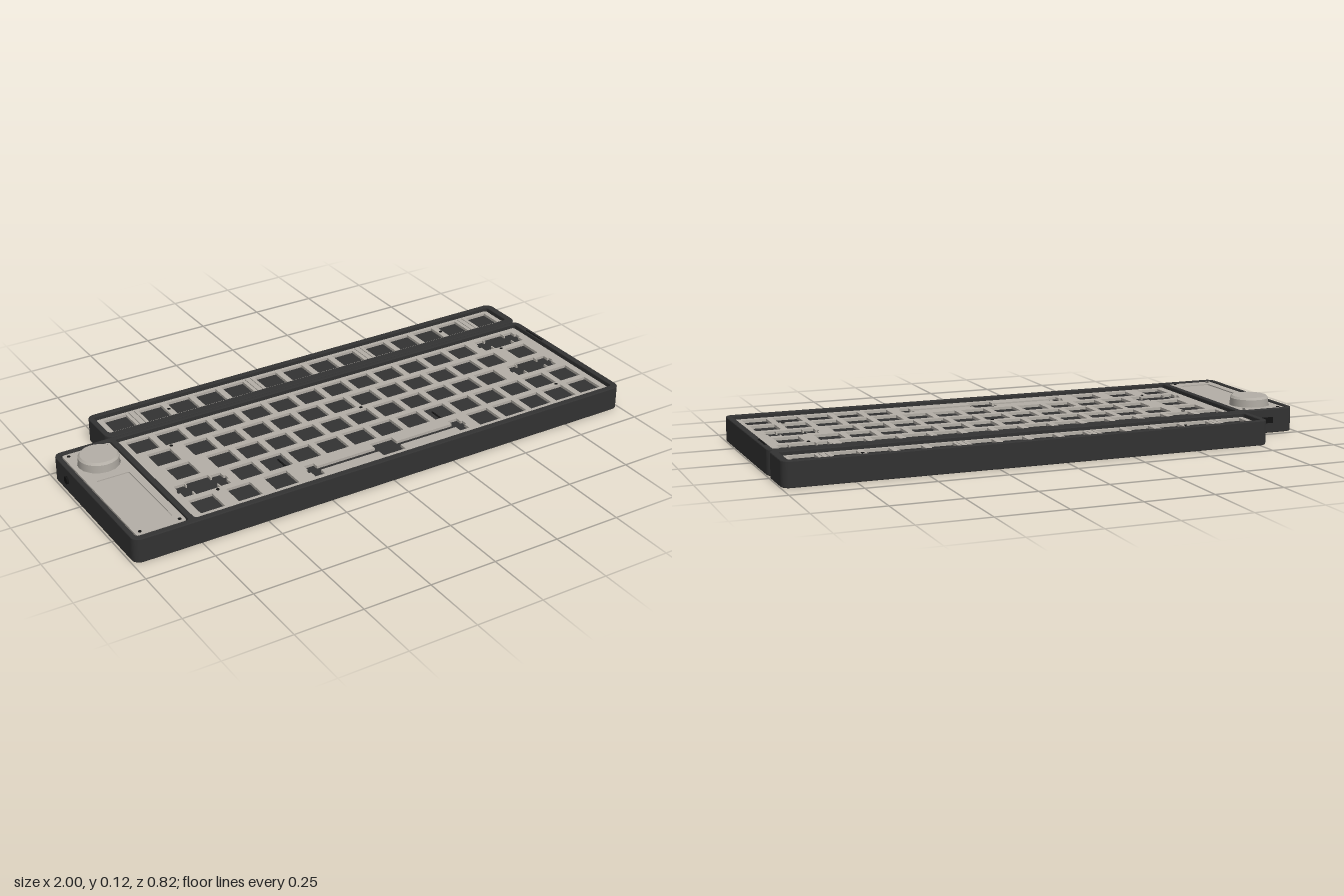
import * as THREE from 'three';

const mat = (name, color) => {
  const m = new THREE.MeshStandardMaterial({ color });
  m.name = name;
  return m;
};

// Rounded rectangle in plan; shape x,y map to model x,z
function roundRect(x0, x1, z0, z1, r, Type = THREE.Shape) {
  const s = new Type();
  s.moveTo(x0 + r, z0);
  s.lineTo(x1 - r, z0);
  s.absarc(x1 - r, z0 + r, r, -Math.PI / 2, 0);
  s.lineTo(x1, z1 - r);
  s.absarc(x1 - r, z1 - r, r, 0, Math.PI / 2);
  s.lineTo(x0 + r, z1);
  s.absarc(x0 + r, z1 - r, r, Math.PI / 2, Math.PI);
  s.lineTo(x0, z0 + r);
  s.absarc(x0 + r, z0 + r, r, Math.PI, Math.PI * 1.5);
  return s;
}

function polygonHole(points) {
  return new THREE.Path(points.map(([x, z]) => new THREE.Vector2(x, z)));
}

const rectHole = (x, z, w, d) => polygonHole([
  [x - w / 2, z - d / 2], [x + w / 2, z - d / 2], [x + w / 2, z + d / 2], [x - w / 2, z + d / 2],
]);

// Switch opening joined to two stabiliser openings at +-d by a slot of half width b
function stabHole(x, z, d, b) {
  const s = 0.045, a = d - 0.019, c = d + 0.019, e = d + 0.027;
  const right = [
    [s, -s], [s, -b], [a, -b], [a, -0.036], [c, -0.036], [c, -0.012], [e, -0.012],
    [e, 0.012], [c, 0.012], [c, 0.042], [a, 0.042], [a, b], [s, b], [s, s],
  ];
  const left = right.map(([px, pz]) => [-px, pz]).reverse();
  return polygonHole([...right, ...left].map(([px, pz]) => [x + px, z + pz]));
}

export function createModel() {
  const graphite = mat('graphite case', 0x323232);
  const silver = mat('warm silver', 0xb3aea6);
  const black = mat('black', 0x121212);
  const steel = mat('blue grey', 0x8c8c98);
  const root = new THREE.Group();
  root.name = 'keyboard';

  const add = (name, geometry, material, x = 0, y = 0, z = 0) => {
    const m = new THREE.Mesh(geometry, material);
    m.name = name;
    m.position.set(x, y, z);
    root.add(m);
    return m;
  };
  const box = (name, material, w, h, d, x, y, z) =>
    add(name, new THREE.BoxGeometry(w, h, d), material, x, y, z);

  // Extrude a plan shape downward from its top height
  const slab = (name, shape, material, top, depth, bevel = 0) => {
    const g = new THREE.ExtrudeGeometry(shape, {
      depth: depth - 2 * bevel, curveSegments: 8, bevelEnabled: bevel > 0,
      bevelSize: bevel, bevelThickness: bevel, bevelOffset: -bevel, bevelSegments: 2,
    });
    g.rotateX(Math.PI / 2);
    add(name, g, material, 0, top - bevel, 0);
  };

  // Main case, with a key well and a control well
  const mainCase = roundRect(-0.993, 0.997, -0.228, 0.412, 0.03);
  mainCase.holes.push(
    roundRect(-0.762, 0.974, -0.21, 0.388, 0.012, THREE.Path),
    roundRect(-0.974, -0.784, -0.21, 0.388, 0.012, THREE.Path),
  );
  slab('mainCase', mainCase, graphite, 0.09, 0.09, 0.003);
  slab('mainFloor', roundRect(-0.983, 0.987, -0.218, 0.402, 0.025), graphite, 0.055, 0.054);

  // Separate case for the top row
  const rowCase = roundRect(-0.783, 0.997, -0.412, -0.2285, 0.03);
  rowCase.holes.push(roundRect(-0.762, 0.97, -0.392, -0.262, 0.012, THREE.Path));
  slab('topRowCase', rowCase, graphite, 0.09, 0.09, 0.003);
  slab('topRowFloor', roundRect(-0.773, 0.987, -0.402, -0.2385, 0.025), graphite, 0.055, 0.054);

  // Key plate: runs of [z, first x, number of keys]
  const u = 0.1137, key = 0.09;
  const plate = roundRect(-0.757, 0.969, -0.205, 0.383, 0.01);
  const runs = [
    [-0.143, -0.69, 13],
    [-0.029, -0.664, 1], [-0.029, -0.521, 12], [-0.029, 0.874, 1],
    [0.085, -0.65, 1], [0.085, -0.493, 11],
    [0.199, -0.466, 13],
    [0.313, -0.68, 1], [0.313, -0.537, 1], [0.313, -0.395, 1], [0.313, 0.446, 5],
  ];
  for (const [z, x, n] of runs) {
    for (let i = 0; i < n; i++) plate.holes.push(rectHole(x + i * u, z, key, key));
  }
  plate.holes.push(
    stabHole(0.847, -0.143, 0.069, 0.022),
    stabHole(0.833, 0.085, 0.069, 0.022),
    stabHole(-0.637, 0.199, 0.069, 0.022),
    stabHole(0.035, 0.313, 0.3, 0.013),
  );
  slab('keyPlate', plate, silver, 0.077, 0.01);

  // Top row plate with thin slots between the key groups
  const rowPlate = roundRect(-0.757, 0.965, -0.387, -0.267, 0.01);
  for (const [x, n] of [[-0.69, 1], [-0.55, 4], [-0.067, 4], [0.416, 4], [0.9, 1]]) {
    for (let i = 0; i < n; i++) rowPlate.holes.push(rectHole(x + i * u, -0.327, key, key));
  }
  for (const x of [-0.62, -0.138, 0.346, 0.829]) {
    for (const s of [-1, 1]) rowPlate.holes.push(rectHole(x + s * 0.011, -0.327, 0.003, 0.11));
  }
  slab('topRowPlate', rowPlate, silver, 0.077, 0.01);

  // Narrow slits in the circuit board under some keys
  for (let i = 0; i < 6; i++) box('boardSlit', black, 0.085, 0.003, 0.008, -0.265 + i * u, 0.056, 0.125);
  for (const x of [-0.68, -0.537, -0.395]) box('boardSlit', black, 0.085, 0.003, 0.01, x, 0.056, 0.352);
  for (const x of [-0.32, 0.328]) box('boardSlit', black, 0.006, 0.003, 0.08, x, 0.056, 0.2);

  // Control panel with knob opening and sunken display
  const panel = roundRect(-0.969, -0.789, -0.205, 0.383, 0.01);
  const ring = new THREE.Path();
  ring.absarc(-0.877, -0.1, 0.075, 0, Math.PI * 2);
  panel.holes.push(ring, roundRect(-0.937, -0.817, 0.01, 0.335, 0.006, THREE.Path));
  slab('controlPanel', panel, silver, 0.087, 0.012);
  box('display', silver, 0.13, 0.006, 0.335, -0.877, 0.08, 0.1725);

  // Rotary knob with chamfered rim; doubled points keep the edges sharp
  const knob = [[0.06, 0.056], [0.071, 0.06], [0.071, 0.06], [0.071, 0.114], [0.071, 0.114],
    [0.064, 0.122], [0.064, 0.122], [0, 0.122]];
  add('knob', new THREE.LatheGeometry(knob.map(([r, y]) => new THREE.Vector2(r, y)), 48),
    silver, -0.877, 0, -0.1);

  // Screws
  const screw = new THREE.CylinderGeometry(0.006, 0.006, 0.004, 10);
  for (const x of [-0.95, -0.807]) for (const z of [-0.188, 0.366]) add('panelScrew', screw, black, x, 0.087, z);
  for (const [x, z] of [[-0.607, -0.086], [0.105, 0.028], [0.82, -0.086], [-0.607, 0.256], [0.82, 0.256],
    [-0.494, -0.327], [0.703, -0.327]]) add('plateScrew', screw, black, x, 0.077, z);

  // Side button, rear port and rim slot
  const button = add('sideButton', new THREE.CylinderGeometry(0.014, 0.014, 0.012, 16), black, -0.994, 0.048, -0.11);
  button.rotation.z = Math.PI / 2;
  box('rearPort', black, 0.06, 0.022, 0.004, -0.877, 0.048, -0.228);
  box('rimSlot', black, 0.008, 0.004, 0.1, 0.982, 0.0885, -0.09);

  // Inlay under the case
  box('bottomInlay', steel, 0.8, 0.004, 0.23, 0, 0.002, 0.087);
  return root;
}
